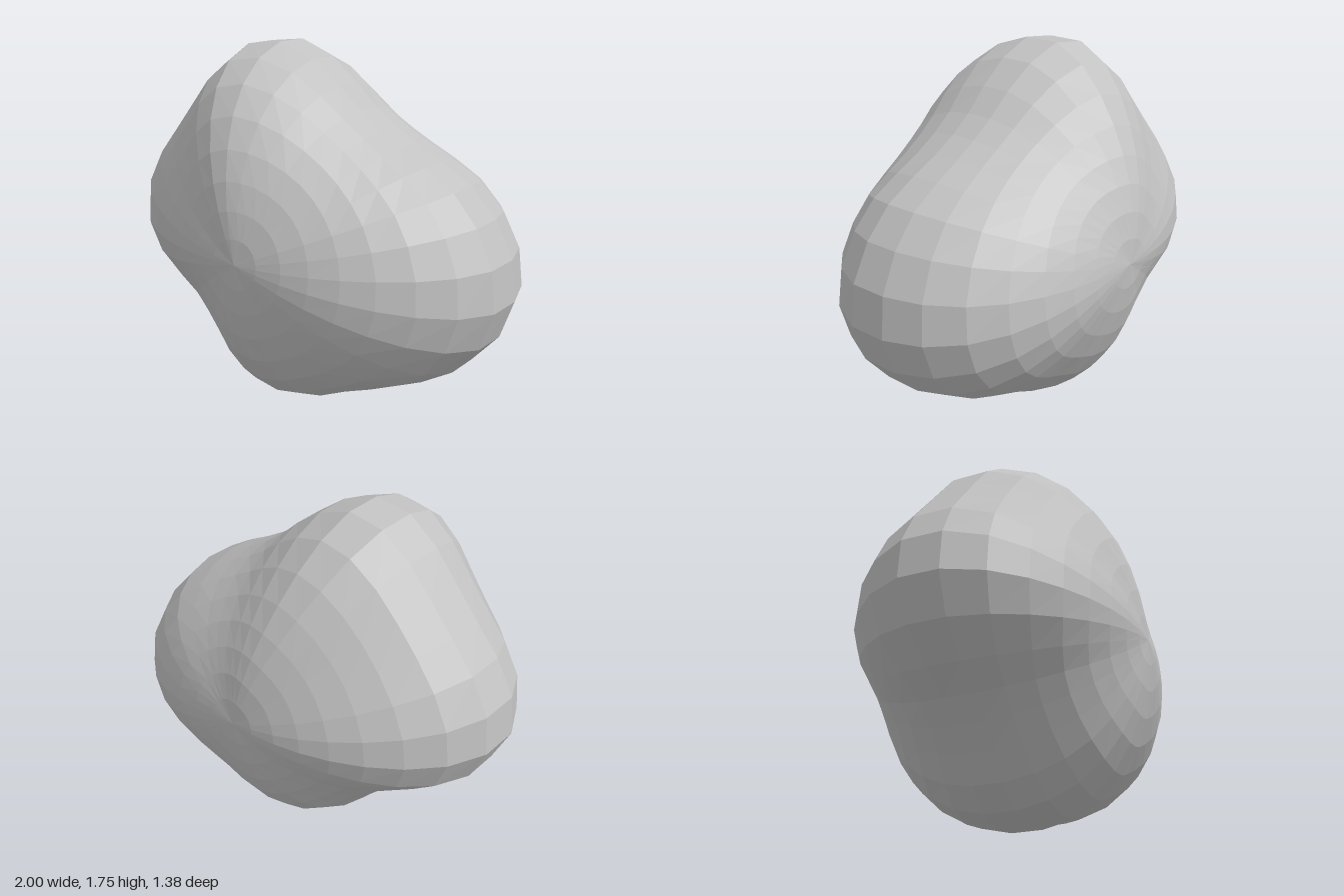
import * as THREE from 'three';

// Radius of the widest outline, every 11.25 degrees from +x towards +y
const OUTLINE = [
  0.98, 0.91, 0.83, 0.74, 0.68, 0.66, 0.68, 0.75,
  0.845, 0.935, 0.97, 0.945, 0.915, 0.92, 0.96, 1.0,
  1.0, 0.93, 0.81, 0.715, 0.69, 0.705, 0.76, 0.81,
  0.825, 0.815, 0.80, 0.83, 0.89, 0.96, 1.01, 1.02,
];
const SIDES = OUTLINE.length;
const MEAN = 0.9;    // mean outline radius
const WIDTH = 0.908; // half width in x and y before shaping
const DEPTH = 0.69;  // half depth in z
const CROWD = 1.4;   // crowds the rings towards the front and back poles

// Shoulder fullness between the rim and the front or back pole
function shoulder(a, z) {
  return z > 0
    ? -0.0025 + 0.0075 * Math.cos(a) - 0.0125 * Math.sin(a) - 0.035 * Math.cos(2 * a)
    : -0.004 + 0.035 * Math.cos(a) - 0.0285 * Math.sin(a) + 0.014 * Math.cos(2 * a);
}

function boulderGeometry() {
  // Sphere with its poles facing front and back
  const geo = new THREE.SphereGeometry(1, SIDES, 17).rotateX(Math.PI / 2);
  const pos = geo.attributes.position;
  const p = new THREE.Vector3();
  for (let i = 0; i < pos.count; i++) {
    p.fromBufferAttribute(pos, i);
    p.z *= CROWD;
    p.normalize();
    const s = Math.hypot(p.x, p.y);
    const a = Math.atan2(p.y, p.x);
    const k = (Math.round((a / (2 * Math.PI)) * SIDES) + SIDES) % SIDES;
    // Radial push: full outline at the rim, fading to none at the poles
    const rim = 1 + (OUTLINE[k] / MEAN - 1) * Math.pow(s, 1.5);
    const f = rim * (1 + shoulder(a, p.z) * 4 * s * s * p.z * p.z);
    pos.setXYZ(i, p.x * f * WIDTH, p.y * f * WIDTH, p.z * f * DEPTH);
  }
  // Stand on the ground, centred
  geo.computeBoundingBox();
  const { min, max } = geo.boundingBox;
  geo.translate(-(min.x + max.x) / 2, -min.y, -(min.z + max.z) / 2);
  geo.computeVertexNormals();
  return geo;
}

export function createModel() {
  const group = new THREE.Group();
  group.name = 'rock';
  const stone = new THREE.MeshStandardMaterial({ color: 0xc2c2c2, flatShading: true });
  stone.name = 'stone grey';
  const boulder = new THREE.Mesh(boulderGeometry(), stone);
  boulder.name = 'boulder';
  group.add(boulder);
  return group;
}
